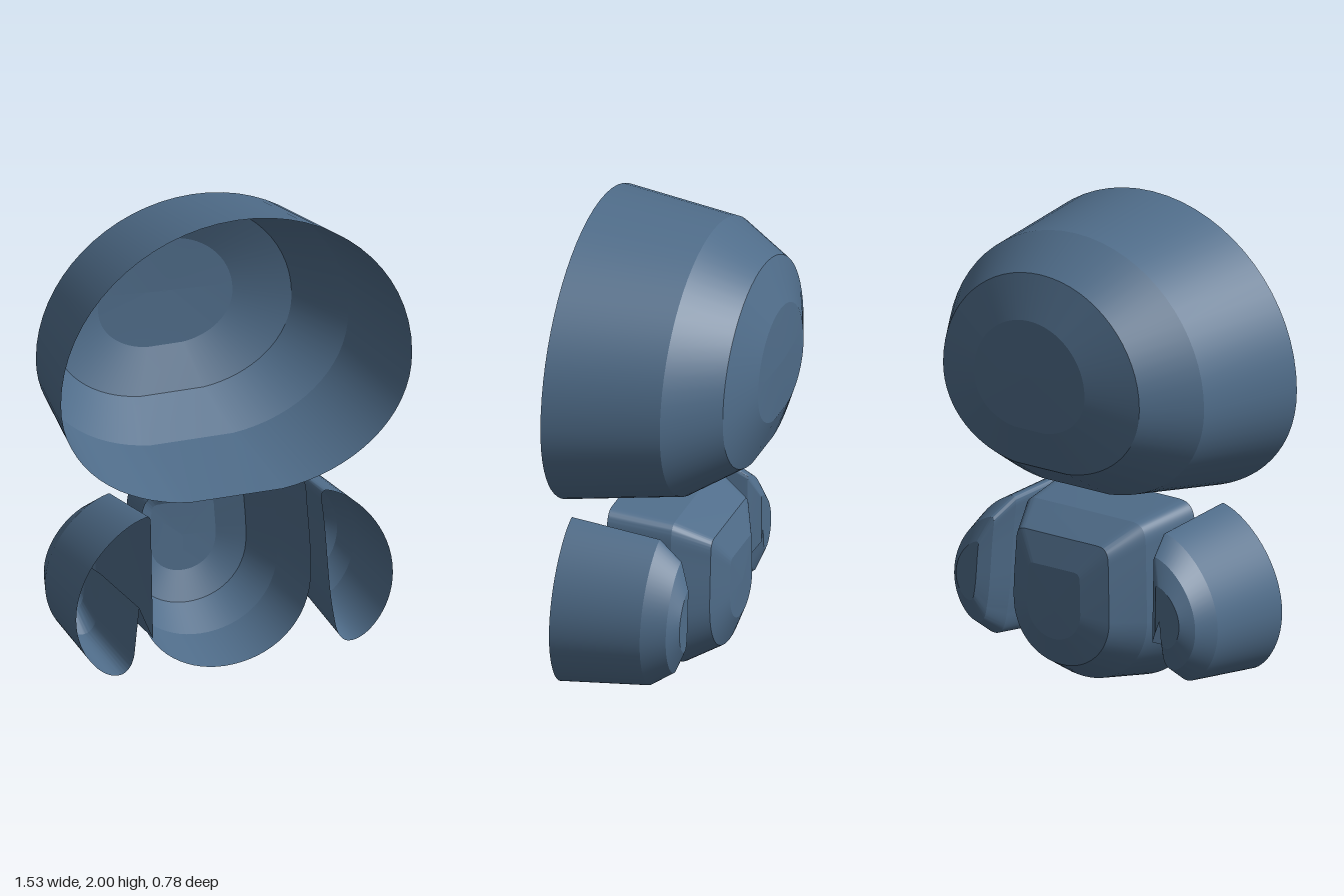
import * as THREE from 'three';
import { mergeGeometries, toCreasedNormals } from 'three/addons/utils/BufferGeometryUtils.js';

const slateBlue = new THREE.MeshStandardMaterial({ color: 0x4f6c89, side: THREE.DoubleSide });
slateBlue.name = 'slateBlue';

// Closed outline from [x, y] start and segments of 2 (line) or 6 (bezier) numbers
function outline(start, segments) {
  const path = new THREE.Path().moveTo(...start);
  for (const s of segments) {
    if (s.length === 2) path.lineTo(...s);
    else path.bezierCurveTo(...s);
  }
  const pts = path.getPoints(16);
  if (pts[0].distanceTo(pts[pts.length - 1]) < 1e-4) pts.pop();
  return pts;
}

function facet(positions, indices) {
  const g = new THREE.BufferGeometry();
  g.setAttribute('position', new THREE.Float32BufferAttribute(positions, 3));
  g.setIndex(indices);
  return toCreasedNormals(g, 0.6);
}

// Hollow shell, open at the front: the outline shrinks toward its centre
// through rings of [z, scale]; each band keeps a crisp edge to the next.
function shell(name, pts, [cx, cy], rings) {
  const n = pts.length;
  const ring = ([z, s]) => pts.flatMap((p) => [cx + (p.x - cx) * s, cy + (p.y - cy) * s, z]);
  const parts = [];
  for (let r = 0; r < rings.length - 1; r++) {
    const idx = [];
    for (let k = 0; k < n; k++) {
      const m = (k + 1) % n;
      idx.push(k, n + k, n + m, k, n + m, m);
    }
    parts.push(facet([...ring(rings[r]), ...ring(rings[r + 1])], idx));
  }
  // Back cap, facing -z
  const faces = THREE.ShapeUtils.triangulateShape(pts, []);
  parts.push(facet(ring(rings[rings.length - 1]), faces.flatMap(([a, b, c]) => [a, c, b])));
  const mesh = new THREE.Mesh(mergeGeometries(parts), slateBlue);
  mesh.name = name;
  return mesh;
}

export function createModel() {
  const group = new THREE.Group();
  group.name = 'figureShell';

  // Head: wide dome with a short flat chin
  const head = outline([0.2, 0.8], [
    [0.5, 0.83, 0.765, 1.02, 0.765, 1.31],
    [0.765, 1.69, 0.42, 2.0, 0, 2.0],
    [-0.42, 2.0, -0.765, 1.69, -0.765, 1.31],
    [-0.765, 1.02, -0.5, 0.83, -0.2, 0.8],
    [0.2, 0.8],
  ]);
  group.add(shell('head', head, [0, 1.4],
    [[0.39, 1], [-0.09, 0.89], [-0.305, 0.68], [-0.38, 0.383], [-0.39, 0.01]]));

  // Body: squared shoulders, round bottom
  const body = outline([0.29, 0.79], [
    [-0.26, 0.79],
    [-0.32, 0.79, -0.35, 0.77, -0.352, 0.69],
    [-0.36, 0.33],
    [-0.355, 0.13, -0.18, 0, 0.01, 0.0],
    [0.21, 0, 0.385, 0.13, 0.385, 0.36],
    [0.385, 0.5, 0.37, 0.6, 0.365, 0.7],
    [0.36, 0.77, 0.345, 0.79, 0.29, 0.79],
  ]);
  group.add(shell('body', body, [0.01, 0.4],
    [[0.24, 1], [-0.02, 0.89], [-0.165, 0.68], [-0.215, 0.38], [-0.22, 0.01]]));

  // Arms: leaf-shaped shells, the right one with a notch on its inner side
  const armRings = [[0.38, 1], [0, 0.89], [-0.1, 0.68], [-0.143, 0.38]];
  const leftArm = outline([0.375, 0.72], [
    [0.4, 0.55, 0.4, 0.35, 0.43, 0.2],
    [0.44, 0.13, 0.46, 0.09, 0.5, 0.09],
    [0.57, 0.085, 0.685, 0.2, 0.685, 0.36],
    [0.685, 0.56, 0.52, 0.73, 0.4, 0.76],
    [0.38, 0.765, 0.372, 0.75, 0.375, 0.72],
  ]);
  group.add(shell('leftArm', leftArm, [0.53, 0.42], armRings));

  const rightArm = outline([-0.39, 0.76], [
    [-0.52, 0.73, -0.695, 0.56, -0.695, 0.36],
    [-0.695, 0.2, -0.58, 0.085, -0.51, 0.09],
    [-0.47, 0.09, -0.445, 0.13, -0.44, 0.18],
    [-0.42, 0.37],
    [-0.36, 0.23],
    [-0.37, 0.73],
    [-0.37, 0.755, -0.375, 0.765, -0.39, 0.76],
  ]);
  group.add(shell('rightArm', rightArm, [-0.53, 0.42], armRings));

  return group;
}
